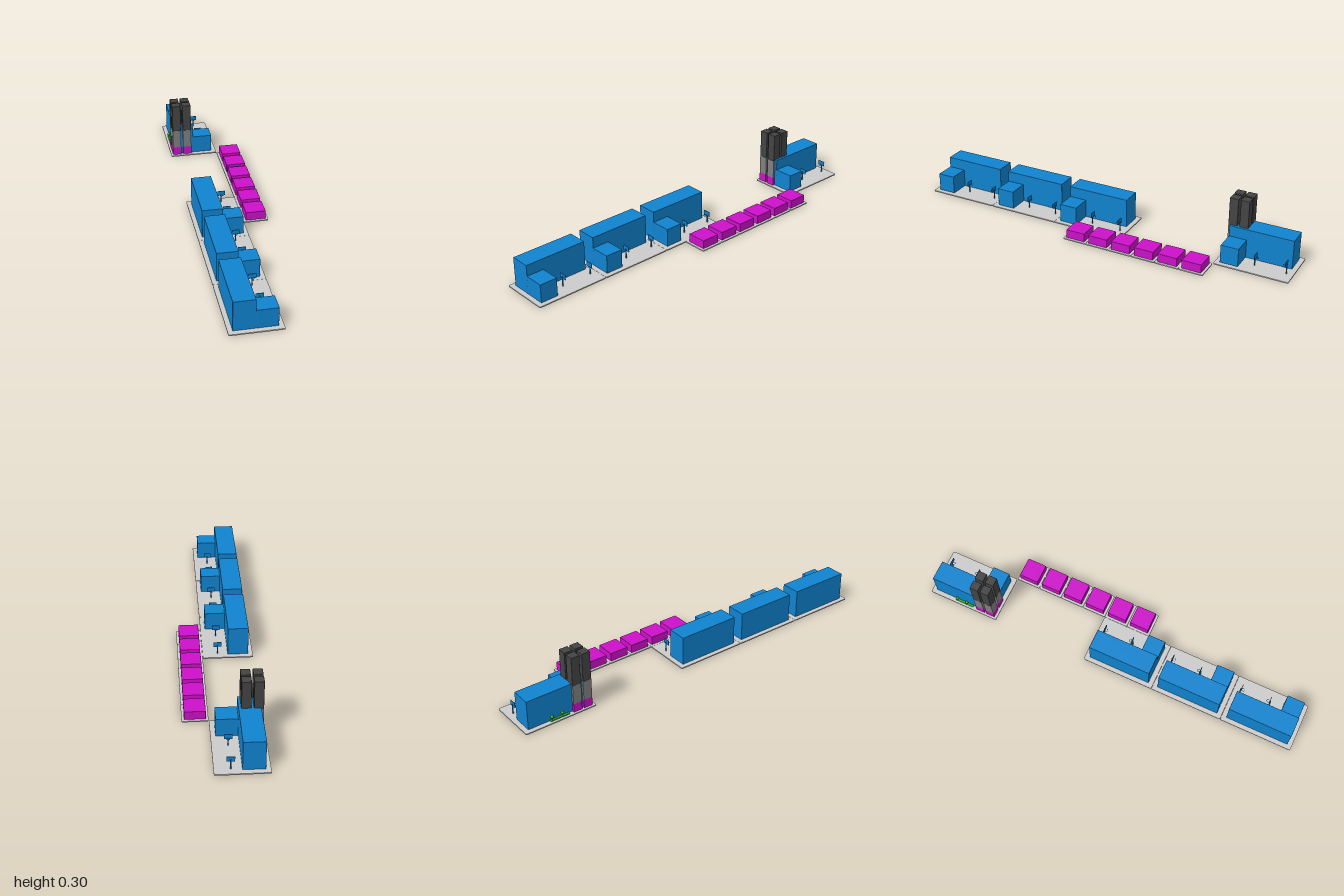
import * as THREE from 'three';
import { RoundedBoxGeometry } from 'three/addons/geometries/RoundedBoxGeometry.js';

const mat = (color) => new THREE.MeshStandardMaterial({ color });
const GREY = mat(0xcccccc), BLUE = mat(0x1083cf), MAGENTA = mat(0xcc10c8);
const DARK = mat(0x444444), MID = mat(0x808080), GREEN = mat(0x33b01e);
const BASE = 0.006; // top of the ground plates

function add(parent, name, geometry, material, x, y, z) {
  const mesh = new THREE.Mesh(geometry, material);
  mesh.name = name;
  mesh.position.set(x, y, z);
  parent.add(mesh);
  return mesh;
}

// Box given by its centre in plan and its lower and upper height
function block(parent, name, material, x, z, w, d, y0, y1, r = 0) {
  const h = y1 - y0;
  const geo = r ? new RoundedBoxGeometry(w, h, d, 2, r) : new THREE.BoxGeometry(w, h, d);
  return add(parent, name, geo, material, x, (y0 + y1) / 2, z);
}

// Flat plate with rounded corners
function plate(parent, w, d) {
  const a = w / 2 - 0.0005, b = d / 2 - 0.0005, r = 0.006;
  const s = new THREE.Shape();
  s.absarc(a - r, b - r, r, 0, Math.PI / 2);
  s.absarc(r - a, b - r, r, Math.PI / 2, Math.PI);
  s.absarc(r - a, r - b, r, Math.PI, Math.PI * 1.5);
  s.absarc(a - r, r - b, r, Math.PI * 1.5, Math.PI * 2);
  const geo = new THREE.ExtrudeGeometry(s, { depth: BASE, bevelEnabled: false, curveSegments: 4 });
  geo.rotateX(-Math.PI / 2);
  add(parent, 'groundPlate', geo, GREY, 0, 0, 0);
}

// Basketball hoop whose ring points toward +z
function hoop() {
  const g = new THREE.Group();
  g.name = 'hoop';
  add(g, 'pole', new THREE.CylinderGeometry(0.003, 0.003, 0.05, 10), BLUE, 0, BASE + 0.025, -0.003);
  block(g, 'backboard', BLUE, 0, 0, 0.038, 0.003, 0.045, 0.07);
  const ring = add(g, 'ring', new THREE.TorusGeometry(0.007, 0.001, 6, 16), BLUE, 0, 0.05, 0.009);
  ring.rotation.x = Math.PI / 2;
  return g;
}

// L-shaped hall on its plate with a small court
function hall(z) {
  const g = new THREE.Group();
  g.name = 'hall';
  plate(g, 0.25, 0.375);
  block(g, 'mainBuilding', BLUE, -0.051, 0, 0.102, 0.325, BASE, 0.156, 0.001);
  block(g, 'annex', BLUE, 0.05, 0.117, 0.102, 0.091, BASE, 0.1, 0.001);
  const back = hoop(), front = hoop();
  back.position.set(0.05, 0, -0.149);
  front.position.set(0.05, 0, 0.003);
  front.rotation.y = Math.PI;
  g.add(back, front);
  g.position.set(-0.0625, 0, z);
  return g;
}

// Square hut on its own plate
function hut(z) {
  const g = new THREE.Group();
  g.name = 'hut';
  plate(g, 0.125, 0.125);
  block(g, 'hutBlock', MAGENTA, 0, 0, 0.1, 0.1, BASE, 0.05, 0.001);
  g.position.set(0.125, 0, z);
  return g;
}

// Four towers in a square, stacked in three colour bands
function towers() {
  const g = new THREE.Group();
  g.name = 'towerCluster';
  for (const x of [-0.028, 0.028]) for (const z of [-0.028, 0.028]) {
    block(g, 'towerFoot', MAGENTA, x, z, 0.045, 0.045, BASE, 0.05);
    block(g, 'towerMiddle', MID, x, z, 0.045, 0.045, 0.05, 0.15);
    block(g, 'towerTop', DARK, x, z, 0.045, 0.045, 0.15, 0.297, 0.002);
  }
  g.position.set(-0.1255, 0, -0.6895);
  return g;
}

// Grass strip with two little trees beside the rear hall
function garden() {
  const g = new THREE.Group();
  g.name = 'garden';
  block(g, 'grass', GREEN, -0.125, -0.8125, 0.1, 0.1, BASE, 0.011);
  for (const z of [-0.853, -0.798]) {
    add(g, 'treeTrunk', new THREE.CylinderGeometry(0.002, 0.002, 0.02, 8), GREEN, -0.17, 0.016, z);
    add(g, 'treeCrown', new THREE.SphereGeometry(0.008, 12, 8), GREEN, -0.17, 0.027, z);
  }
  return g;
}

export function createModel() {
  const model = new THREE.Group();
  model.name = 'townBlocks';
  for (const z of [-0.8125, 0.0625, 0.4375, 0.8125]) model.add(hall(z));
  for (let i = 0; i < 6; i++) model.add(hut(-0.5625 + i * 0.125));
  model.add(towers(), garden());
  return model;
}
